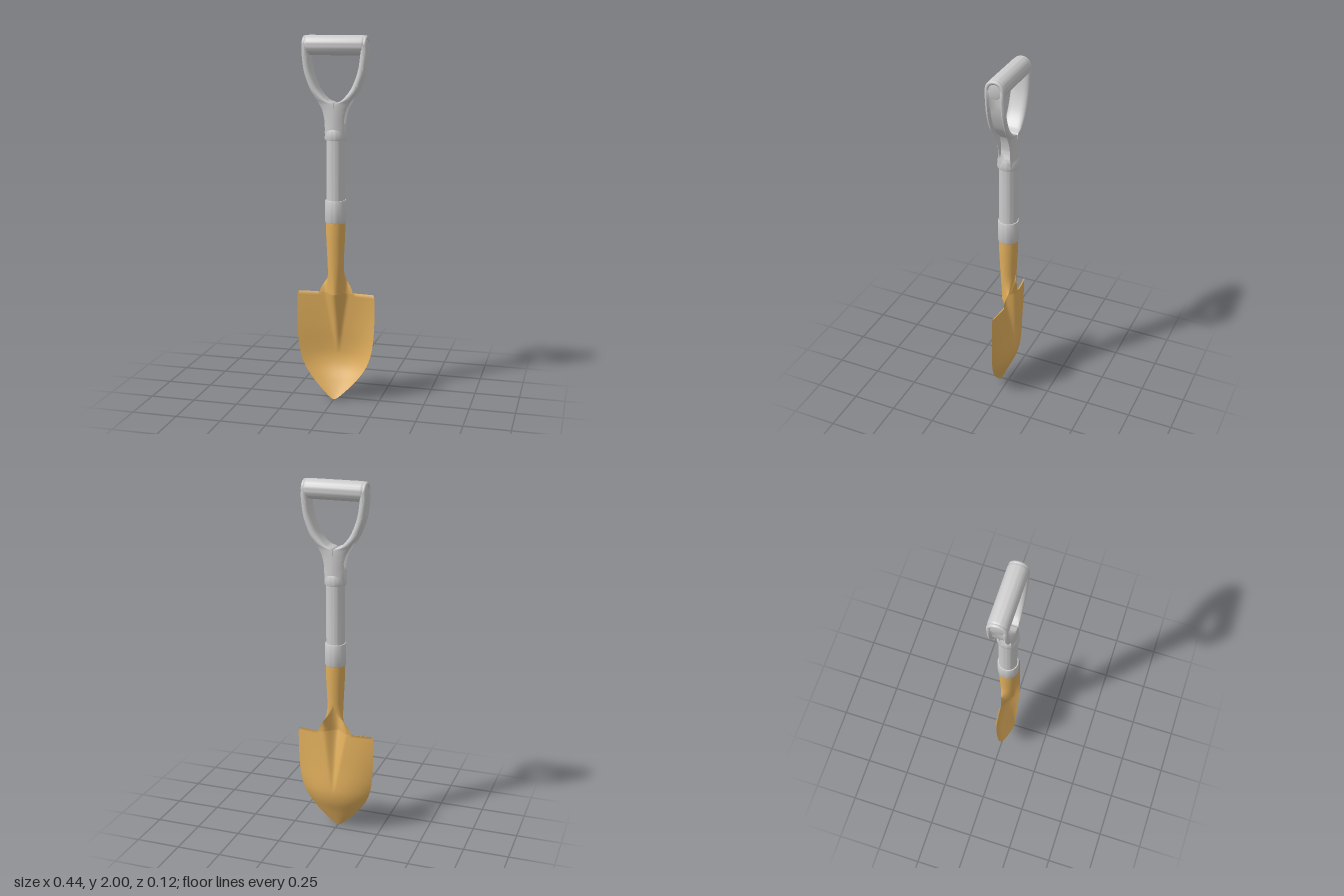
import * as THREE from 'three';
import { toCreasedNormals } from 'three/addons/utils/BufferGeometryUtils.js';

const { lerp, smoothstep } = THREE.MathUtils;

// Smooth curve through [position, value] pairs
function table(pts) {
  const slope = (i) => {
    const a = pts[Math.max(i - 1, 0)], b = pts[Math.min(i + 1, pts.length - 1)];
    return (b[1] - a[1]) / (b[0] - a[0]);
  };
  return (p) => {
    let i = 0;
    while (i < pts.length - 2 && p > pts[i + 1][0]) i++;
    const [p0, v0] = pts[i], [p1, v1] = pts[i + 1];
    const h = p1 - p0, t = (p - p0) / h, t2 = t * t, t3 = t2 * t;
    return v0 * (2 * t3 - 3 * t2 + 1) + h * slope(i) * (t3 - 2 * t2 + t)
      + v1 * (3 * t2 - 2 * t3) + h * slope(i + 1) * (t3 - t2);
  };
}

// Surface through rows of [x, y, z] points
function loft(rows) {
  const n = rows[0].length, index = [];
  for (let i = 0; i < rows.length - 1; i++) {
    for (let j = 0; j < n - 1; j++) {
      const a = i * n + j, b = a + n;
      index.push(a, a + 1, b, a + 1, b + 1, b);
    }
  }
  const g = new THREE.BufferGeometry();
  g.setAttribute('position', new THREE.Float32BufferAttribute(rows.flat(2), 3));
  g.setIndex(index);
  g.computeVertexNormals();
  return g;
}

// Blade: half width, rim, belly and raised centre ridge by height
const halfWidth = table([[0, 0], [0.008, 0.018], [0.04, 0.055], [0.11, 0.122], [0.19, 0.177],
  [0.28, 0.206], [0.38, 0.217], [0.5, 0.22], [0.585, 0.219], [0.598, 0.213]]);
const rimZ = table([[0, 0.042], [0.12, 0.026], [0.25, 0.012], [0.45, 0.002], [0.6, 0]]);
const bellyZ = table([[0, 0.042], [0.1, 0], [0.18, -0.034], [0.25, -0.045], [0.4, -0.032], [0.6, -0.014]]);
const ridgeH = table([[0.25, 0], [0.36, 0.012], [0.48, 0.03], [0.6, 0.053]]);

function bladeZ(x, y) {
  const w = Math.max(halfWidth(Math.min(y, 0.598)), 1e-4);
  const q = Math.min(Math.abs(x) / w, 1);
  let z = lerp(bellyZ(y), rimZ(y), Math.pow(q, 2.2));
  if (y > 0.25) {
    const k = Math.min(Math.abs(x) / (0.012 + 0.06 * (y - 0.25) / 0.35), 1);
    z += ridgeH(y) * Math.pow(Math.cos(k * Math.PI / 2), 2);
  }
  return z;
}

function bladeGeometry() {
  const rows = [], N = 48, M = 64;
  for (let i = 0; i <= N; i++) {
    const y = 0.598 * Math.pow(i / N, 1.4), w = halfWidth(y), row = [];
    for (let j = 0; j <= M; j++) {
      const x = w * (2 * j / M - 1);
      row.push([x, y, bladeZ(x, y)]);
    }
    rows.push(row);
  }
  // Foot treads turned back along the top edge
  rows.push(rows[N].map(([x, , z]) => [x, 0.6, z - 0.008 * smoothstep(Math.abs(x), 0.085, 0.11)]));
  return loft(rows);
}

// Socket: the sheet rolls from the blade into a tube with a seam at the back
function socketGeometry() {
  const rows = [], N = 32, M = 48;
  for (let i = 0; i <= N; i++) {
    const y = lerp(0.597, 1.0, i / N), t = smoothstep(y, 0.59, 0.78), row = [];
    const r = lerp(0.043, 0.053, smoothstep(y, 0.7, 1));
    for (let j = 0; j <= M; j++) {
      const u = 2 * j / M - 1, x = 0.095 * u, th = u * Math.PI;
      row.push([lerp(x, r * Math.sin(th), t), y,
        lerp(bladeZ(x, 0.597), r * Math.cos(th), t)]);
    }
    rows.push(row);
  }
  return loft(rows);
}

// Handle arm: channelled section swept between an inner and an outer outline
function armGeometry() {
  // inner: x, y, merged amount; outer: x, y, groove depth
  const inner = [[0, 1.46, 1], [0, 1.5, 1], [0, 1.55, 1], [0, 1.6, 1], [0, 1.64, 0.85], [0.042, 1.662, 0.4],
    [0.09, 1.722, 0], [0.125, 1.81, 0], [0.139, 1.9, 0], [0.14, 1.95, 0]];
  const outer = [[0.053, 1.46, 0], [0.054, 1.5, 0.02], [0.056, 1.55, 0.35], [0.068, 1.605, 0.4], [0.088, 1.643, 0.4],
    [0.108, 1.678, 0.4], [0.132, 1.722, 0.35], [0.162, 1.805, 0.35], [0.175, 1.9, 0.3], [0.174, 1.95, 0.25]];
  const curve = (a) => new THREE.CatmullRomCurve3(a.map((p) => new THREE.Vector3(...p)), false, 'catmullrom', 0.5);
  const ci = curve(inner), co = curve(outer);
  // half section as [across, depth]; the last two points form the groove floor
  const arm = [[0, 0], [0, 0.4], [0.04, 0.62], [0.15, 0.84], [0.35, 0.97], [0.6, 1], [0.82, 0.98], [0.96, 0.88],
    [1, 0.76], [0.95, 0.64], [1, 0.54], [1, 0]];
  const stem = [[0, 0], [0, 0.5], [0, 0.8], [0, 1], [0.2, 0.99], [0.42, 0.93], [0.65, 0.83], [0.84, 0.72],
    [0.95, 0.62], [0.97, 0.56], [1, 0.48], [1, 0]];
  const rows = [], N = 54;
  for (let i = 0; i <= N; i++) {
    const a = ci.getPoint(i / N), b = co.getPoint(i / N);
    a.x = Math.max(a.x, 0);
    const m = THREE.MathUtils.clamp(a.z, 0, 1), g = Math.max(b.z, 0);
    const half = arm.map(([s, d], k) => {
      const across = lerp(s, stem[k][0], m) - (k >= 10 ? g : k === 9 ? g * 0.3 : 0);
      return [lerp(a.x, b.x, across), lerp(a.y, b.y, across), 0.052 * lerp(d, stem[k][1], m)];
    });
    rows.push([...half, ...half.slice(0, -1).reverse().map(([x, y, z]) => [x, y, -z])]);
  }
  return toCreasedNormals(loft(rows), 0.9);
}

export function createModel() {
  const group = new THREE.Group();
  const grey = new THREE.MeshStandardMaterial({ color: 0xcccccc, side: THREE.DoubleSide });
  const ochre = new THREE.MeshStandardMaterial({ color: 0xe0ae5c, side: THREE.DoubleSide });
  const add = (name, geometry, material) => {
    const mesh = new THREE.Mesh(geometry, material);
    mesh.name = name;
    group.add(mesh);
    return mesh;
  };
  const lathe = (pts) => toCreasedNormals(
    new THREE.LatheGeometry(pts.map((p) => new THREE.Vector2(...p)), 48), 0.6);

  add('blade', bladeGeometry(), ochre);
  add('socket', socketGeometry(), ochre);

  // Shaft with its lower collar and upper ferrule
  add('lowerCollar', lathe([[0, 0.998], [0.055, 0.998], [0.057, 1.003], [0.057, 1.117], [0.055, 1.122], [0, 1.122]]), grey);
  add('shaft', lathe([[0.05, 1.11], [0.05, 1.46]]), grey);
  add('upperFerrule', lathe([[0, 1.448], [0.057, 1.448], [0.059, 1.453], [0.058, 1.475],
    [0.056, 1.495], [0.052, 1.505], [0, 1.51]]), grey);

  // Grip bar with rounded ends
  const grip = add('grip', lathe([[0, -0.169], [0.036, -0.169], [0.045, -0.166], [0.051, -0.158], [0.053, -0.145],
    [0.053, 0.145], [0.051, 0.158], [0.045, 0.166], [0.036, 0.169], [0, 0.169]]), grey);
  grip.rotation.z = Math.PI / 2;
  grip.position.y = 1.947;

  // Mirrored arms, each with a rim curling around the grip end
  const armGeo = armGeometry();
  const rimGeo = new THREE.TorusGeometry(0.041, 0.011, 12, 32, Math.PI);
  for (const [side, s] of [['left', 1], ['right', -1]]) {
    add(side + 'Arm', armGeo, grey).scale.x = s;
    const rim = add(side + 'GripRim', rimGeo, grey);
    rim.rotation.y = Math.PI / 2;
    rim.position.set(s * 0.164, 1.947, 0);
  }
  return group;
}
